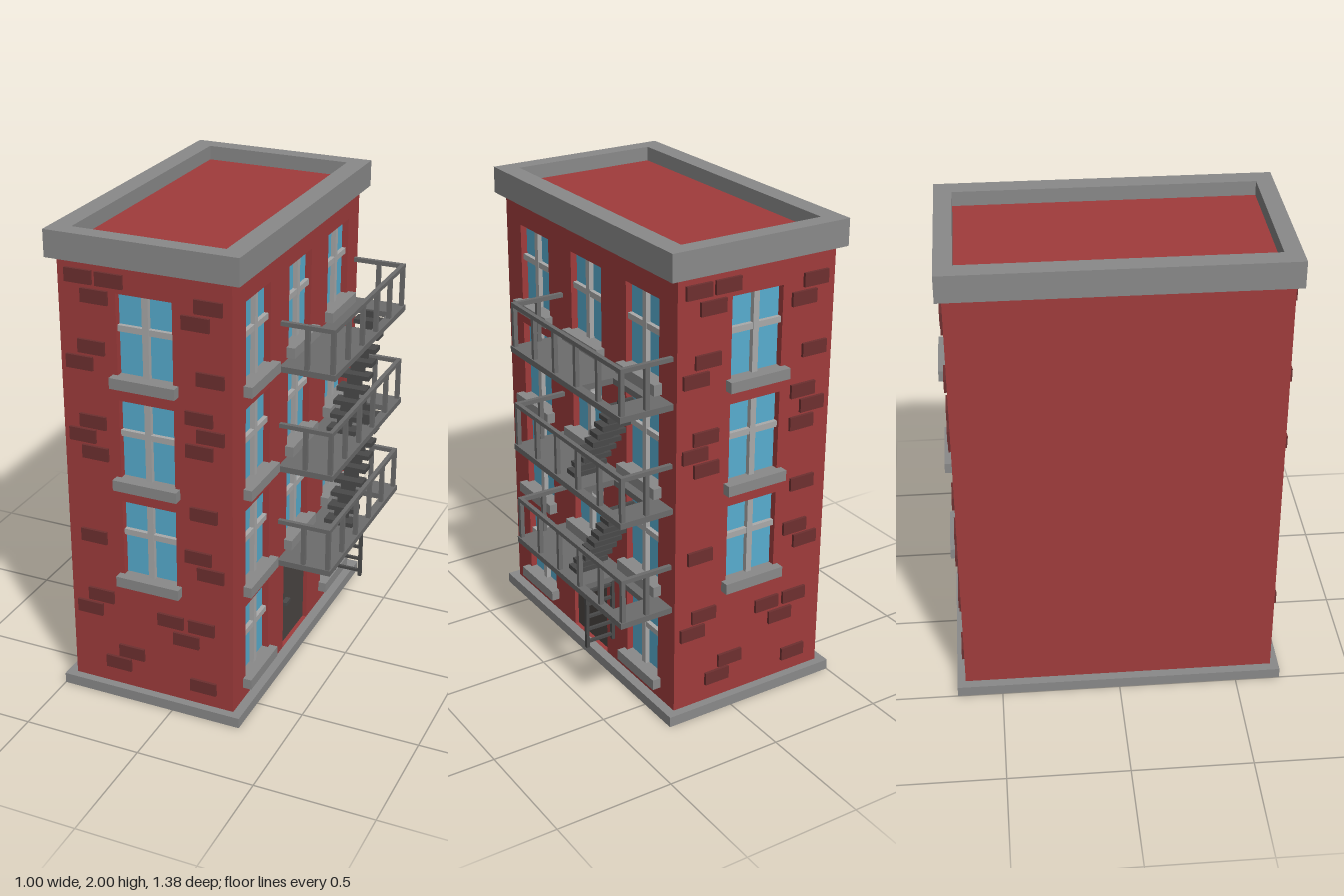
import * as THREE from 'three';

const mat = (color, side = THREE.FrontSide) => new THREE.MeshStandardMaterial({ color, side, flatShading: true });
const M = {
  wall: mat(0xa03c3c, THREE.DoubleSide), brick: mat(0x6e3030), stone: mat(0x8a8a8a),
  frame: mat(0xaaaaaa), glass: mat(0x58aed0), door: mat(0x4a4542),
  metal: mat(0x6c6c6c), dark: mat(0x4a4a4a),
};

// Box given by its min and max on each axis
function box(parent, name, m, x0, x1, y0, y1, z0, z1) {
  const mesh = new THREE.Mesh(new THREE.BoxGeometry(x1 - x0, y1 - y0, z1 - z0), m);
  mesh.position.set((x0 + x1) / 2, (y0 + y1) / 2, (z0 + z1) / 2);
  mesh.name = name;
  parent.add(mesh);
  return mesh;
}

function group(parent, name) {
  const g = new THREE.Group();
  g.name = name;
  parent.add(g);
  return g;
}

function rect(Type, x0, x1, y0, y1) {
  return new Type([[x0, y0], [x1, y0], [x1, y1], [x0, y1]].map(p => new THREE.Vector2(...p)));
}

// Horizontal slab with a rectangular hole; rectangles are [x0, x1, z0, z1]
function slabWithHole(parent, name, m, o, h, y0, y1) {
  const s = rect(THREE.Shape, o[0], o[1], -o[3], -o[2]);
  s.holes.push(rect(THREE.Path, h[0], h[1], -h[3], -h[2]));
  const geo = new THREE.ExtrudeGeometry(s, { depth: y1 - y0, bevelEnabled: false });
  geo.rotateX(-Math.PI / 2).translate(0, y0, 0);
  const mesh = new THREE.Mesh(geo, m);
  mesh.name = name;
  parent.add(mesh);
}

const FLOOR = 0.435, WIN = 0.117, WALL_TOP = 1.94, DEPTH = 0.035;

// Sides of a recess behind an opening
function reveal(parent, x0, x1, y0, y1) {
  const t = 0.004, g = group(parent, 'reveal');
  box(g, 'revealSide', M.wall, x0 - t, x0, y0, y1, -DEPTH, 0);
  box(g, 'revealSide', M.wall, x1, x1 + t, y0, y1, -DEPTH, 0);
  box(g, 'revealTop', M.wall, x0, x1, y1, y1 + t, -DEPTH, 0);
  box(g, 'revealBottom', M.wall, x0, x1, y0 - t, y0, -DEPTH, 0);
}

function addWindow(parent, u, floor) {
  const g = group(parent, 'window');
  g.position.set(u, floor * FLOOR, 0);
  reveal(g, -WIN, WIN, 0.13, 0.475);
  box(g, 'glass', M.glass, -WIN, WIN, 0.13, 0.475, -DEPTH, -0.028);
  box(g, 'verticalBar', M.frame, -0.013, 0.013, 0.13, 0.475, -0.028, -0.008);
  box(g, 'horizontalBar', M.frame, -WIN, WIN, 0.322, 0.347, -0.028, -0.01);
  box(g, 'sill', M.stone, -0.138, 0.138, 0.1, 0.145, -0.028, 0.036);
}

function addDoor(parent) {
  const g = group(parent, 'door');
  reveal(g, -0.137, 0.137, 0.045, 0.48);
  box(g, 'doorPanel', M.door, -0.137, 0.137, 0.045, 0.48, -DEPTH, -0.018);
  box(g, 'doorHandle', M.dark, -0.11, -0.062, 0.238, 0.254, -0.018, 0.004);
}

// One wall facing local +z; windows are [u, floor]
function facade(parent, name, width, windows, hasDoor) {
  const g = group(parent, name);
  const s = rect(THREE.Shape, -width / 2, width / 2, 0, WALL_TOP);
  for (const [u, f] of windows)
    s.holes.push(rect(THREE.Path, u - WIN, u + WIN, 0.13 + f * FLOOR, 0.475 + f * FLOOR));
  if (hasDoor) s.holes.push(rect(THREE.Path, -0.137, 0.137, 0.045, 0.48));
  const wall = new THREE.Mesh(new THREE.ShapeGeometry(s), M.wall);
  wall.name = 'wall';
  g.add(wall);
  windows.forEach(([u, f]) => addWindow(g, u, f));
  if (hasDoor) addDoor(g);
  return g;
}

// Raised bricks on the end walls, [x, y] of each centre
const BRICKS = [
  [-.37, 1.83], [-.24, 1.83], [-.305, 1.757], [.167, 1.783], [.114, 1.714], [-.325, 1.55], [-.378, 1.48],
  [.172, 1.497], [.124, 1.332], [.172, 1.263], [.124, 1.194], [-.33, 1.237], [-.378, 1.172], [-.325, 1.103],
  [.14, .925], [-.347, .727], [.114, .732], [.167, .663], [-.325, .456], [-.378, .387], [-.013, .41],
  [.124, .41], [.056, .336], [-.193, .213], [-.255, .147], [.13, .133],
];

function addBricks(wall) {
  const g = group(wall, 'bricks');
  for (const [x, y] of BRICKS)
    box(g, 'brick', M.brick, x + 0.1 - 0.057, x + 0.1 + 0.057, y - 0.028, y + 0.028, -0.004, 0.012);
}

// Platform with railing; y is the floor surface
function addPlatform(parent, y) {
  const g = group(parent, 'platform');
  g.position.y = y;
  slabWithHole(g, 'platformFloor', M.metal, [0.26, 0.495, -0.635, 0.208], [0.32, 0.46, -0.52, -0.3], -0.025, 0);
  const r = 0.009, xo = 0.48, z0 = -0.622, z1 = 0.195, top = 0.178;
  box(g, 'frontRail', M.metal, xo - r, xo + r, top - r, top + r, z0 - r, z1 + r);
  for (const z of [z0, z1]) {
    box(g, 'endRail', M.metal, 0.26, xo - r, top - r, top + r, z - r, z + r);
    box(g, 'endPost', M.metal, 0.372 - r, 0.372 + r, 0, top - r, z - r, z + r);
  }
  for (let i = 0; i < 6; i++) {
    const z = z0 + (z1 - z0) * i / 5;
    box(g, 'post', M.metal, xo - r, xo + r, 0, top - r, z - r, z + r);
  }
}

// Flight of treads on a stepped centre spine, rising towards the back
function addStairs(parent, y) {
  const g = group(parent, 'stairs');
  const n = 9, dy = 0.048, dz = 0.0365;
  for (let i = 0; i < n; i++) {
    const ty = y + 0.018 + i * dy, z = -0.19 - i * dz;
    box(g, 'tread', M.dark, 0.325, 0.453, ty - 0.01, ty + 0.01, z - 0.031, z + 0.031);
    box(g, 'riser', M.dark, 0.355, 0.42, ty + 0.01, ty + dy - 0.01, z - 0.024, z - 0.012);
  }
}

function addLadder(parent) {
  const g = group(parent, 'ladder');
  for (const x of [0.328, 0.45])
    box(g, 'ladderRail', M.dark, x - 0.007, x + 0.007, 0.22, 0.5, -0.302, -0.286);
  for (let i = 0; i < 5; i++) {
    const y = 0.245 + i * 0.059;
    box(g, 'rung', M.dark, 0.335, 0.443, y - 0.006, y + 0.006, -0.3, -0.288);
  }
}

export function createModel() {
  const model = new THREE.Group();
  model.name = 'apartmentBuilding';

  // Walls
  const upper = [1, 2, 3].map(f => [0, f]);
  const front = facade(model, 'frontWall', 0.72, upper);
  front.position.set(-0.1, 0, 0.655);
  addBricks(front);
  const back = facade(model, 'backWall', 0.72, upper);
  back.position.set(-0.1, 0, -0.655);
  back.rotation.y = Math.PI;
  addBricks(back);
  const sideWindows = [];
  for (let f = 0; f < 4; f++)
    for (const u of [-0.417, 0, 0.417]) if (f > 0 || u !== 0) sideWindows.push([u, f]);
  const side = facade(model, 'doorWall', 1.31, sideWindows, true);
  side.position.x = 0.26;
  side.rotation.y = Math.PI / 2;
  const plain = facade(model, 'plainWall', 1.31, []);
  plain.position.x = -0.46;
  plain.rotation.y = -Math.PI / 2;

  // Plinth, cornice and sunken roof
  slabWithHole(model, 'plinth', M.stone, [-0.5, 0.3, -0.69, 0.69], [-0.46, 0.26, -0.655, 0.655], 0, 0.045);
  slabWithHole(model, 'cornice', M.stone, [-0.5, 0.3, -0.68, 0.68], [-0.417, 0.217, -0.608, 0.608], 1.89, 2);
  box(model, 'roof', M.wall, -0.43, 0.23, 1.93, 1.94, -0.62, 0.62);

  // Fire escape
  const escape = group(model, 'fireEscape');
  for (let i = 0; i < 3; i++) {
    const y = 0.52 + i * 0.438;
    addPlatform(escape, y);
    if (i < 2) addStairs(escape, y);
  }
  addLadder(escape);
  return model;
}
